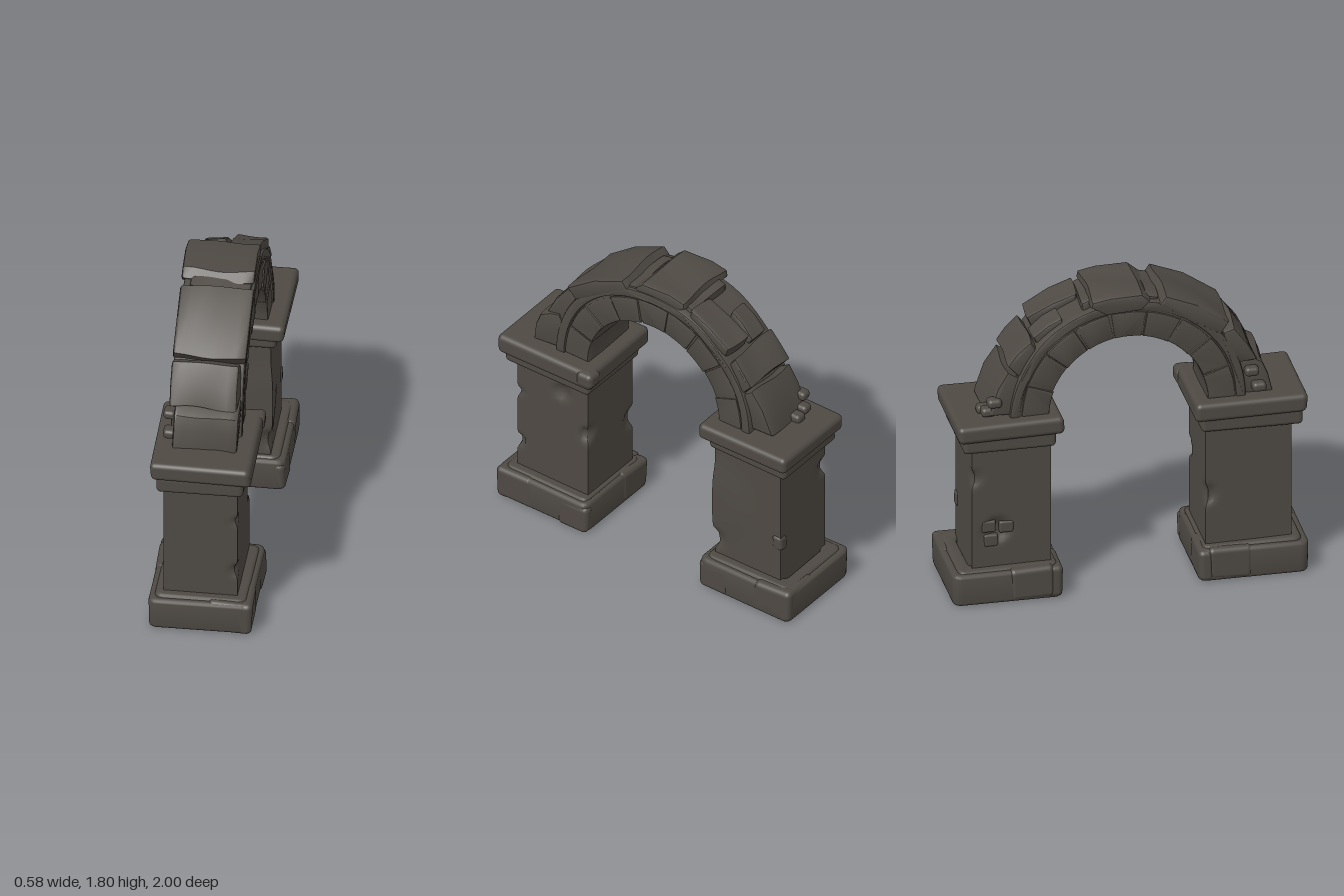
import * as THREE from 'three';
import { toCreasedNormals } from 'three/addons/utils/BufferGeometryUtils.js';
import { RoundedBoxGeometry } from 'three/addons/geometries/RoundedBoxGeometry.js';

const stone = new THREE.MeshStandardMaterial({ color: 0x4e4943 });
stone.name = 'dark stone';

// Smooth, repeatable weathering of a geometry's vertices
function weather(geo, seed, amount) {
  const p = geo.attributes.position;
  for (let i = 0; i < p.count; i++) {
    const x = p.getX(i), y = p.getY(i), z = p.getZ(i);
    p.setXYZ(i,
      x + amount * Math.sin(11 * y + 9 * z + seed),
      Math.max(0, y + amount * Math.sin(17 * x + 8 * z + seed * 2)),
      z + amount * Math.sin(13 * x + 10 * y + seed * 3));
  }
  return geo;
}

function add(group, name, geo) {
  const mesh = new THREE.Mesh(geo, stone);
  mesh.name = name;
  group.add(mesh);
  return mesh;
}

// Rounded block given by its limits on each axis
function block(group, name, [x0, x1], [y0, y1], [z0, z1], radius, seed, amount = 0.004) {
  const geo = new RoundedBoxGeometry(x1 - x0, y1 - y0, z1 - z0, 4, radius);
  geo.translate((x0 + x1) / 2, (y0 + y1) / 2, (z0 + z1) / 2);
  return add(group, name, weather(geo, seed, amount));
}

// Side outline of [z, y] points, extruded across x with worn edges
function slab(group, name, points, x0, x1, seed, amount = 0.007, bevel = 0.016) {
  const shape = new THREE.Shape(points.map(([z, y]) => new THREE.Vector2(z, y)));
  const geo = new THREE.ExtrudeGeometry(shape, {
    depth: x1 - x0 - 2 * bevel, steps: 8, bevelEnabled: true, bevelSegments: 2,
    bevelSize: bevel, bevelThickness: bevel, bevelOffset: -bevel,
  });
  geo.rotateY(-Math.PI / 2);
  geo.translate(x1 - bevel, 0, 0);
  return add(group, name, toCreasedNormals(weather(geo, seed, amount), 0.6));
}

// Points of a ring sector around the arch centre
function sector(r0, r1, a0, a1, n) {
  const pts = [];
  const at = (r, a) => pts.push([r * Math.cos(a), 1.085 + r * Math.sin(a)]);
  for (let i = 0; i <= n; i++) at(r1, a0 + (a1 - a0) * i / n);
  for (let i = n; i >= 0; i--) at(r0, a0 + (a1 - a0) * i / n);
  return pts;
}

function roundedRect(target, hx, hz, r) {
  target.moveTo(-hx + r, -hz);
  target.lineTo(hx - r, -hz).quadraticCurveTo(hx, -hz, hx, -hz + r);
  target.lineTo(hx, hz - r).quadraticCurveTo(hx, hz, hx - r, hz);
  target.lineTo(-hx + r, hz).quadraticCurveTo(-hx, hz, -hx, hz - r);
  target.lineTo(-hx, -hz + r).quadraticCurveTo(-hx, -hz, -hx + r, -hz);
  return target;
}

// Hollow tier of the plinth
function frame(group, name, hx, hz, holeX, holeZ, y0, y1, zc, seed) {
  const b = 0.02;
  const shape = roundedRect(new THREE.Shape(), hx, hz, 0.05);
  shape.holes.push(roundedRect(new THREE.Path(), holeX, holeZ, 0.03));
  const geo = new THREE.ExtrudeGeometry(shape, {
    depth: y1 - y0 - 2 * b, bevelEnabled: true, bevelSegments: 3, bevelSize: b,
    bevelThickness: b, bevelOffset: -b, curveSegments: 5,
  });
  geo.rotateX(-Math.PI / 2);
  geo.translate(0, y0 + b, zc);
  add(group, name, toCreasedNormals(weather(geo, seed, 0.003), 0.6));
}

// Shaft with chips: each is [x, y, z, radius, depth], pushed towards the axis
function shaft(group, z0, z1, chips) {
  const zc = (z0 + z1) / 2;
  const geo = new THREE.BoxGeometry(0.41, 0.84, z1 - z0, 16, 40, 18);
  geo.translate(-0.005, 0.52, zc);
  const p = geo.attributes.position;
  for (let i = 0; i < p.count; i++) {
    const v = new THREE.Vector3().fromBufferAttribute(p, i);
    let push = 0;
    for (const [x, y, z, r, d] of chips) {
      const q = v.distanceToSquared(new THREE.Vector3(x, y, z)) / (r * r);
      push += d * Math.exp(-q * q);
    }
    p.setX(i, v.x - push * Math.sign(v.x) * (Math.abs(v.x) > 0.19 ? 1 : 0));
    p.setZ(i, v.z - push * Math.sign(v.z - zc) * (Math.abs(v.z - zc) > 0.2 ? 1 : 0));
  }
  geo.computeVertexNormals();
  add(group, 'shaft', geo);
}

function pier(name, s, zc, capLow, capHigh, lift, shaftZ, chips) {
  const g = new THREE.Group();
  g.name = name;
  frame(g, 'plinth', 0.283, 0.308, 0.215, 0.24, 0.003, 0.19, zc, s);
  frame(g, 'plinthStep', 0.255, 0.28, 0.17, 0.2, 0.05, 0.203, zc, s + 1);
  // Cracked facing stones on the plinth
  const f = Math.sign(zc), out = zc + f * 0.308, inn = zc - f * 0.308;
  const span = (a, b) => [Math.min(a, b), Math.max(a, b)];
  block(g, 'plinthStone', [0.04, 0.288], [0, 0.198], span(out, out - f * 0.08), 0.03, s + 2);
  block(g, 'plinthStone', [0.21, 0.288], [0.005, 0.198], span(out, out - f * 0.24), 0.03, s + 2);
  block(g, 'plinthStone', [0.22, 0.288], [0.0, 0.17], span(inn, inn + f * 0.2), 0.03, s + 3);
  block(g, 'plinthStone', [-0.288, -0.21], [0.01, 0.2], span(inn + f * 0.05, inn + f * 0.3), 0.03, s + 4);
  block(g, 'plinthStone', [-0.288, -0.05], [0.01, 0.195], span(inn, inn + f * 0.08), 0.03, s + 5);
  shaft(g, shaftZ[0], shaftZ[1], chips);
  block(g, 'lowerCap', [-0.245, 0.235], [0.9 + lift, 1.0 + lift], capLow, 0.025, s + 6);
  block(g, 'upperCap', [-0.275, 0.28], [0.98 + lift, 1.092 + lift / 2], capHigh, 0.03, s + 7, 0.006);
  return g;
}

export function createModel() {
  const model = new THREE.Group();
  model.name = 'stoneArch';

  // Piers
  const front = pier('frontPier', 1, 0.688, [0.4, 0.97], [0.365, 0.995], 0, [0.43, 0.912], [
    [0.2, 0.82, 0.61, 0.05, 0.025], [0.2, 0.6, 0.43, 0.05, 0.025],
    [0.2, 0.37, 0.91, 0.04, 0.02], [0.2, 0.7, 0.91, 0.03, 0.015], [-0.2, 0.5, 0.43, 0.06, 0.02]]);
  block(front, 'capCorner', [0.18, 0.288], [0.985, 1.08], [0.355, 0.46], 0.03, 3);
  const back = pier('backPier', 4, -0.69, [-0.93, -0.41], [-0.97, -0.375], 0.02, [-0.882, -0.437], [
    [0.2, 0.55, -0.437, 0.22, -0.012], [0.2, 0.3, -0.437, 0.06, 0.02],
    [-0.2, 0.42, -0.74, 0.07, 0.03], [-0.2, 0.75, -0.88, 0.05, 0.02]]);
  block(back, 'looseBrick', [0.15, 0.212], [0.4, 0.49], [-0.893, -0.83], 0.02, 2);
  for (const [y, z] of [[0.36, -0.77], [0.44, -0.69], [0.45, -0.79]])
    block(back, 'exposedBrick', [-0.215, -0.16], [y - 0.035, y + 0.035], [z - 0.04, z + 0.04], 0.012, y * 9);
  model.add(front, back);

  // Arch ring, with joined wedge stones and an outer band
  const arch = new THREE.Group();
  arch.name = 'arch';
  slab(arch, 'archCore', sector(0.448, 0.655, 0, Math.PI, 40), -0.192, 0.175, 0, 0, 0.008);
  const wedges = 9;
  for (let i = 0; i < wedges; i++) {
    const a = Math.PI / wedges, grow = 0.004 * Math.sin(i * 2.4);
    slab(arch, 'wedgeStone', sector(0.446, 0.6, i * a + 0.008, (i + 1) * a - 0.008, 6),
      -0.2 - grow, 0.183 + grow, i, 0.002, 0.01);
  }
  slab(arch, 'outerBand', sector(0.605, 0.662, 0, Math.PI, 40), -0.205, 0.19, 1, 0.003, 0.012);
  model.add(arch);

  // Rough slabs laid over the arch: x limits, then [z, y] outline
  const covers = new THREE.Group();
  covers.name = 'coverStones';
  const outlines = [
    [-0.18, 0.18, [[0.812, 1.09], [0.795, 1.2], [0.765, 1.275], [0.7, 1.31], [0.64, 1.325], [0.6, 1.25], [0.64, 1.09]]],
    [-0.2, 0.175, [[0.725, 1.31], [0.675, 1.42], [0.6, 1.525], [0.54, 1.5], [0.55, 1.4], [0.62, 1.3]]],
    [-0.208, 0.2, [[0.575, 1.55], [0.4, 1.68], [0.21, 1.768], [0.175, 1.72], [0.36, 1.59], [0.52, 1.48]]],
    [-0.22, 0.185, [[0.13, 1.74], [0.08, 1.785], [-0.1, 1.795], [-0.2, 1.78], [-0.208, 1.745], [-0.12, 1.69], [0.08, 1.69]]],
    [-0.005, 0.175, [[-0.25, 1.735], [-0.38, 1.685], [-0.52, 1.605], [-0.49, 1.54], [-0.36, 1.6], [-0.24, 1.67]]],
    [-0.155, -0.025, [[-0.37, 1.67], [-0.45, 1.63], [-0.53, 1.56], [-0.49, 1.49], [-0.35, 1.6]]],
    [-0.18, 0.17, [[-0.54, 1.545], [-0.61, 1.48], [-0.665, 1.41], [-0.6, 1.33], [-0.49, 1.47]]],
    [-0.18, 0.165, [[-0.67, 1.37], [-0.735, 1.27], [-0.785, 1.11], [-0.65, 1.11], [-0.59, 1.32]]],
    [-0.17, 0.17, [[0.18, 1.735], [0.11, 1.755], [0.1, 1.7], [0.17, 1.68]]],
    [-0.16, 0.14, [[-0.2, 1.75], [-0.245, 1.735], [-0.24, 1.67], [-0.19, 1.69]]],
  ];
  outlines.forEach(([x0, x1, pts], i) => slab(covers, 'coverStone', pts, x0, x1, i * 1.7));
  model.add(covers);

  // Small rubble wedged beside the slabs
  const rubble = new THREE.Group();
  rubble.name = 'rubble';
  const pebbles = [[-0.2, 1.14, 0.73], [-0.205, 1.245, 0.69], [-0.15, 1.13, -0.78], [-0.08, 1.12, -0.79], [-0.17, 1.2, -0.75]];
  pebbles.forEach(([x, y, z], i) => block(rubble, 'pebble',
    [x - 0.035, x + 0.035], [y - 0.027, y + 0.027], [z - 0.04, z + 0.04], 0.022, i));
  model.add(rubble);

  return model;
}
